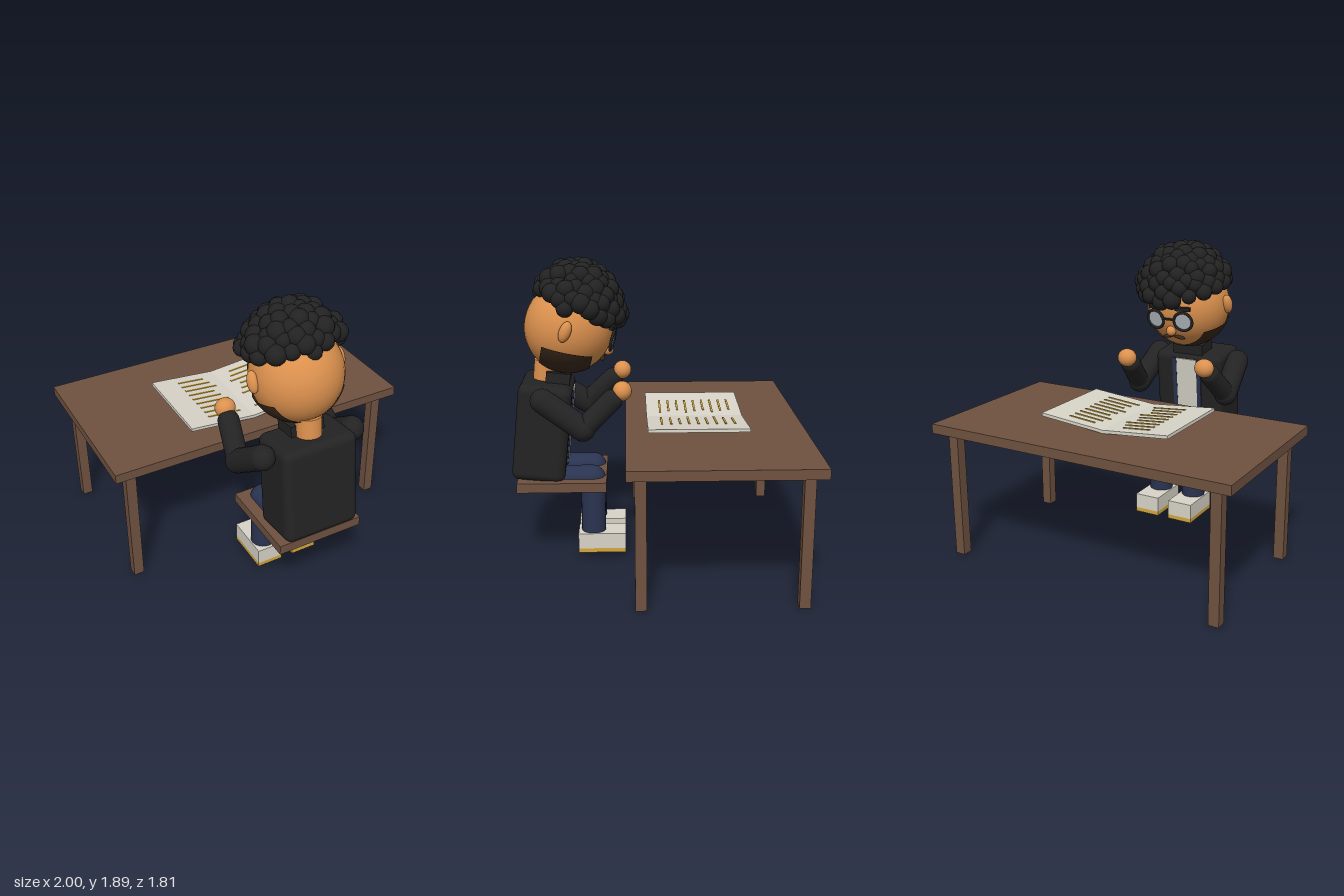
import * as THREE from 'three';
import { mergeGeometries } from 'three/addons/utils/BufferGeometryUtils.js';
import { RoundedBoxGeometry } from 'three/addons/geometries/RoundedBoxGeometry.js';
import { ParametricGeometry } from 'three/addons/geometries/ParametricGeometry.js';

const mat = (name, color, side = THREE.FrontSide) => {
  const m = new THREE.MeshStandardMaterial({ color, side });
  m.name = name;
  return m;
};

export function createModel() {
  const root = new THREE.Group();
  const wood = mat('wood', 0x6f5240);
  const paper = mat('offWhite', 0xd8d4c8);
  const gold = mat('gold', 0xd4a63c);
  const skin = mat('skin', 0xdc914e);
  const jacket = mat('jacketBlack', 0x232324);
  const hairMat = mat('hairBlack', 0x222222);
  const navy = mat('navy', 0x2a3350);
  const beardMat = mat('beardBrown', 0x38281a, THREE.DoubleSide);
  const glass = mat('lensGrey', 0xb4bcc0, THREE.DoubleSide);

  const add = (parent, name, geo, material, x = 0, y = 0, z = 0) => {
    const m = new THREE.Mesh(geo, material);
    m.name = name;
    m.position.set(x, y, z);
    parent.add(m);
    return m;
  };
  const box = (parent, name, material, w, h, d, x, y, z) =>
    add(parent, name, new THREE.BoxGeometry(w, h, d), material, x, y, z);
  const ball = (parent, name, material, rx, ry, rz, x, y, z) => {
    const m = add(parent, name, new THREE.SphereGeometry(1, 32, 24), material, x, y, z);
    m.scale.set(rx, ry, rz);
    return m;
  };
  // Round-ended limb between two points
  const limb = (parent, name, material, r, a, b) => {
    const p = new THREE.Vector3(...a), q = new THREE.Vector3(...b);
    const d = q.clone().sub(p);
    const m = add(parent, name, new THREE.CapsuleGeometry(r, d.length(), 8, 24), material);
    m.position.copy(p).add(q).multiplyScalar(0.5);
    m.quaternion.setFromUnitVectors(new THREE.Vector3(0, 1, 0), d.normalize());
    return m;
  };
  const group = (parent, name, x, y, z) => {
    const g = new THREE.Group();
    g.name = name;
    g.position.set(x, y, z);
    parent.add(g);
    return g;
  };
  const sides = [-1, 1];

  // Desk
  box(root, 'deskTop', wood, 2, 0.06, 1.105, 0, 0.835, -0.3575);
  for (const s of sides)
    for (const z of [0.113, -0.82])
      box(root, 'deskLeg', wood, 0.065, 0.806, 0.065, s * 0.889, 0.403, z);

  // Open book: two pages rising outwards, with rows of lines
  for (const s of sides) {
    const page = group(root, 'bookHalf', 0, 0.866, -0.245);
    page.rotation.z = s * 0.09;
    box(page, 'page', paper, 0.44, 0.02, 0.61, s * 0.22, 0.01, 0);
    for (let i = 0; i < 9; i++) {
      const w = [0.18, 0.2, 0.225][i % 3];
      box(page, 'textLine', gold, w, 0.006, 0.012, s * (0.282 - w / 2), 0.021, -0.231 + i * 0.0558);
    }
  }

  // Stool seat
  box(root, 'seat', wood, 0.555, 0.06, 0.555, 0, 0.505, 0.592);

  // Legs and shoes
  for (const s of sides) {
    const x = s * 0.125;
    limb(root, 'thigh', navy, 0.083, [x, 0.517, 0.74], [x, 0.517, 0.405]);
    add(root, 'shin', new THREE.CylinderGeometry(0.077, 0.077, 0.36, 24), navy, x, 0.34, 0.402);
    box(root, 'shoe', paper, 0.17, 0.1, 0.3, x, 0.12, 0.348);
    box(root, 'shoeSole', gold, 0.17, 0.028, 0.3, x, 0.056, 0.348);
  }

  // Torso leaning forwards, with shirt front and jacket edging
  const torso = group(root, 'torso', 0, 0.833, 0.71);
  torso.rotation.x = -0.105;
  add(torso, 'jacketBody', new RoundedBoxGeometry(0.49, 0.61, 0.33, 5, 0.05), jacket);
  box(torso, 'shirtFront', paper, 0.15, 0.52, 0.008, 0, 0.01, -0.168);
  for (const s of sides)
    box(torso, 'jacketEdging', navy, 0.03, 0.52, 0.009, s * 0.09, 0.01, -0.169);

  // Neck and collar
  const neck = add(root, 'neck', new THREE.CylinderGeometry(0.078, 0.078, 0.15, 24), skin, 0, 1.185, 0.688);
  neck.rotation.x = -0.1;
  const collar = box(root, 'collar', jacket, 0.22, 0.1, 0.15, 0, 1.145, 0.61);
  collar.rotation.x = -0.12;

  // Arms bent with the hands raised
  for (const s of sides) {
    const elbow = [s * 0.328, 0.9, 0.45];
    limb(root, 'upperArm', jacket, 0.075, [s * 0.3, 1.07, 0.69], elbow);
    limb(root, 'forearm', jacket, 0.066, elbow, [s * 0.295, 1.07, 0.275]);
    ball(root, 'hand', skin, 0.064, 0.06, 0.058, s * 0.285, 1.125, 0.212);
  }

  // Head looking down at the book, facing local -z
  const head = group(root, 'head', 0, 1.465, 0.54);
  head.rotation.x = -0.23;
  ball(head, 'skull', skin, 0.275, 0.285, 0.275, 0, 0, 0);
  ball(head, 'nose', skin, 0.032, 0.035, 0.035, 0, -0.085, -0.268);

  for (const s of sides) {
    const ear = ball(head, 'ear', skin, 0.033, 0.066, 0.036, s * 0.283, 0.018, 0.01);
    ear.rotation.x = -0.15;

    // Beard side: a shell over the jaw, cut square behind and in front
    const shell = (u, v, out) => {
      const y = THREE.MathUtils.lerp(-0.11, -0.285, v);
      const r = Math.sqrt(Math.max(0.285 ** 2 - y * y, 1e-6));
      const from = Math.acos(Math.min(1, 0.18 / r));
      const to = Math.acos(Math.max(-1, -0.13 / r));
      const a = THREE.MathUtils.lerp(from, to, u);
      out.set(s * r * Math.sin(a), y * 1.01, -r * Math.cos(a));
    };
    add(head, 'beard', new ParametricGeometry(shell, 24, 16), beardMat);

    const moustache = ball(head, 'moustache', beardMat, 0.042, 0.012, 0.015, s * 0.04, -0.135, -0.245);
    moustache.rotation.z = -s * 0.2;
    const brow = box(head, 'eyebrow', hairMat, 0.1, 0.024, 0.022, s * 0.1, 0.078, -0.268);
    brow.rotation.set(0, -s * 0.3, -s * 0.1);

    // Glasses
    const lens = group(head, 'glassesSide', s * 0.1, -0.005, -0.28);
    lens.rotation.y = -s * 0.15;
    add(lens, 'rim', new THREE.TorusGeometry(0.062, 0.009, 8, 28), hairMat);
    add(lens, 'lens', new THREE.CircleGeometry(0.06, 28), glass);
  }
  box(head, 'glassesBridge', hairMat, 0.08, 0.012, 0.012, 0, 0.005, -0.286);

  // Curly hair: balls spread evenly over the crown
  let seed = 7;
  const rnd = () => (seed = (seed * 16807) % 2147483647) / 2147483647;
  const curls = [];
  const count = 210;
  for (let i = 0; i < count; i++) {
    const y = 1 - (2 * (i + 0.5)) / count;
    const r = Math.sqrt(1 - y * y), a = i * 2.39996;
    const p = [r * Math.cos(a) * 0.287, y * 0.292, r * Math.sin(a) * 0.262];
    if (p[1] < 0.06 + 0.36 * p[2]) continue;
    const g = new THREE.SphereGeometry(0.048 + rnd() * 0.014, 14, 10);
    g.translate(...p.map((c) => c + (rnd() - 0.5) * 0.022));
    curls.push(g);
  }
  add(root, 'curlyHair', mergeGeometries(curls), hairMat, 0, 1.545, 0.49);

  return root;
}
